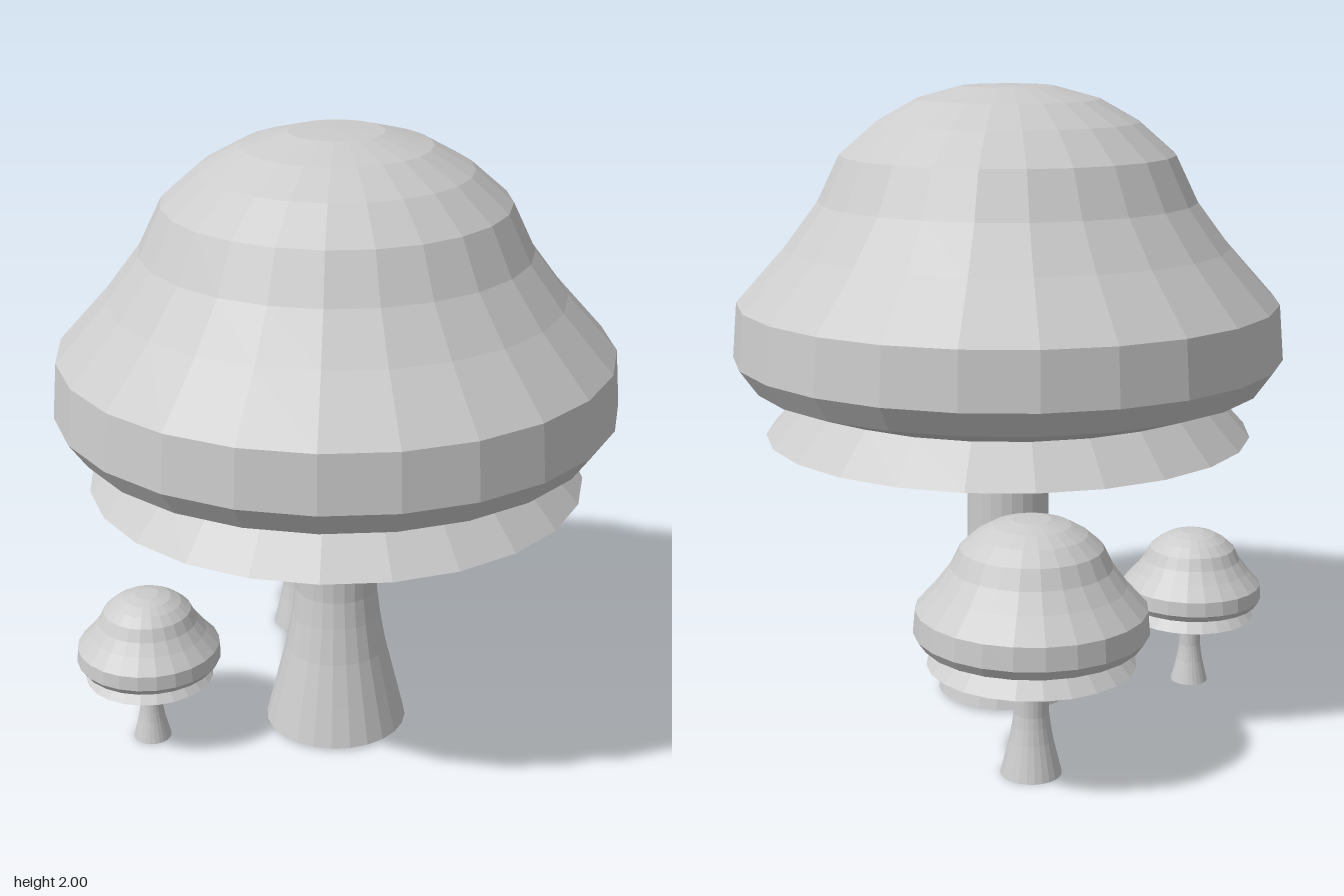
import * as THREE from 'three';

const SEGMENTS = 24;
const material = new THREE.MeshStandardMaterial({
  color: 0xcccccc, flatShading: true, side: THREE.DoubleSide,
});

// Revolves a [radius, height] profile, listed from bottom to top
function lathe(name, profile) {
  const points = profile.map(([r, y]) => new THREE.Vector2(r, y));
  const mesh = new THREE.Mesh(new THREE.LatheGeometry(points, SEGMENTS), material);
  mesh.name = name;
  return mesh;
}

function createMushroom(name, scale, x, y, z) {
  const mushroom = new THREE.Group();
  mushroom.name = name;

  // Flared stem, open at the foot
  mushroom.add(lathe('stem', [
    [0.232, 0], [0.2, 0.13], [0.166, 0.27], [0.145, 0.39], [0.134, 0.48], [0.134, 1.25],
  ]));

  // Bell-shaped cap with a thick rim
  mushroom.add(lathe('cap', [
    [0.66, 1.005], [0.82, 1.06], [0.877, 1.14], [0.862, 1.315], [0.705, 1.49],
    [0.6, 1.63], [0.53, 1.775], [0.415, 1.875], [0.29, 1.945], [0.145, 1.985], [0, 1.99],
  ]));

  // Flared skirt and the hollow gills rising to the stem
  mushroom.add(lathe('gills', [
    [0.134, 1.25], [0.24, 1.24], [0.78, 0.885], [0.66, 1.015],
  ]));

  mushroom.scale.setScalar(scale);
  mushroom.position.set(x, y, z);
  return mushroom;
}

export function createModel() {
  const model = new THREE.Group();
  model.name = 'mushroomCluster';
  model.add(
    createMushroom('largeMushroom', 1, 0, 0.01, 0.073),
    createMushroom('mediumMushroom', 0.398, 0, 0, -0.603),
    createMushroom('smallMushroom', 0.265, -0.62, 0, 0.078),
  );
  return model;
}
